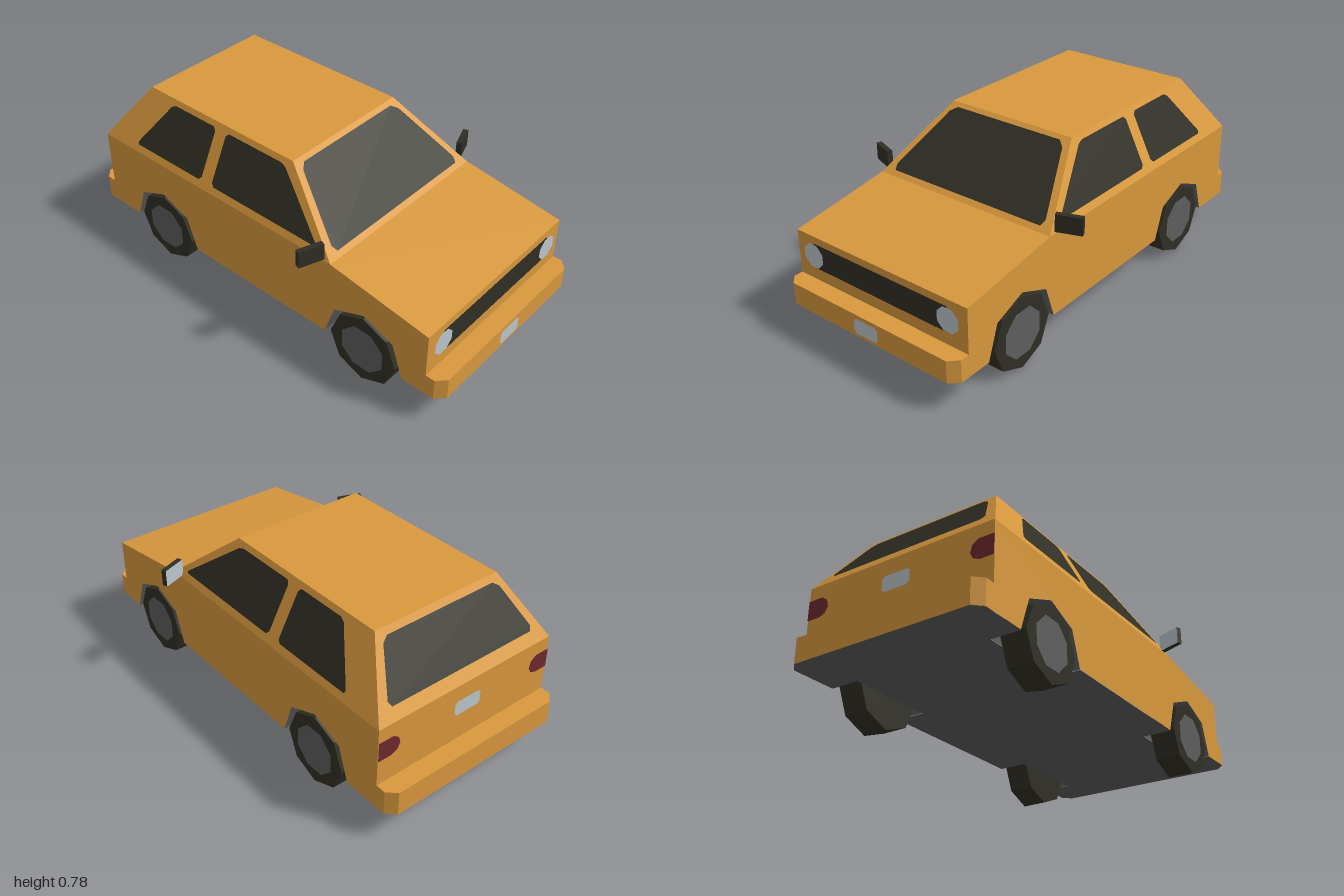
import * as THREE from 'three';

const mat = (name, color) => Object.assign(new THREE.MeshStandardMaterial({ color }), { name });

export function createModel() {
  const car = new THREE.Group();
  car.name = 'hatchback';
  const paint = mat('orange paint', 0xd9993d);
  const black = mat('glass and rubber', 0x302f25);
  const grey = mat('dark grey', 0x5e5e5e);
  const silver = mat('silver', 0xbcc7cb);
  const red = mat('tail light red', 0x6e2a2e);

  // Flat polygon through 3D points, facing the outward direction, lifted by a small offset
  function face(name, points, outward, material, lift = 0) {
    const out = new THREE.Vector3(...outward).normalize();
    const axis = [0, 1, 2].sort((a, b) => Math.abs(outward[b]) - Math.abs(outward[a]))[0];
    const [u, v] = [0, 1, 2].filter((i) => i !== axis);
    const flat = points.map((p) => new THREE.Vector2(p[u], p[v]));
    const vec = points.map((p) => new THREE.Vector3(...p).addScaledVector(out, lift));
    const pos = [];
    for (const [a, b, c] of THREE.ShapeUtils.triangulateShape(flat, [])) {
      const n = vec[b].clone().sub(vec[a]).cross(vec[c].clone().sub(vec[a]));
      const tri = n.dot(out) > 0 ? [a, b, c] : [a, c, b];
      tri.forEach((i) => pos.push(...vec[i].toArray()));
    }
    const geo = new THREE.BufferGeometry();
    geo.setAttribute('position', new THREE.Float32BufferAttribute(pos, 3));
    geo.computeVertexNormals();
    const mesh = new THREE.Mesh(geo, material);
    mesh.name = name;
    car.add(mesh);
  }

  // Clips every corner of a 2D outline
  function clip(pts, r) {
    return pts.flatMap((p, i) => {
      const toward = (q) => {
        const d = Math.hypot(q[0] - p[0], q[1] - p[1]);
        return [p[0] + ((q[0] - p[0]) * r) / d, p[1] + ((q[1] - p[1]) * r) / d];
      };
      return [toward(pts[(i + pts.length - 1) % pts.length]), toward(pts[(i + 1) % pts.length])];
    });
  }
  const trapezoid = (wBottom, wTop, y0, y1) => [[-wBottom, y0], [wBottom, y0], [wTop, y1], [-wTop, y1]];
  const circle = (cx, cy, r, n) => Array.from({ length: n }, (_, i) => {
    const a = ((i + 0.5) / n) * Math.PI * 2;
    return [cx + r * Math.cos(a), cy + r * Math.sin(a)];
  });

  // Main dimensions
  const W = 0.457, R = 0.318, well = 0.325;
  const low = 0.14, belt = 0.515, top = 0.78;
  const nose = 0.92, tail = -0.918, cowl = 0.44, roofF = 0.12, roofB = -0.725;
  const axles = [0.61, -0.553];
  const arch = [[0.2, low], [0.148, 0.29], [0, 0.35], [-0.148, 0.29], [-0.2, low]];

  // Body panels that span the width
  const span = (name, z0, y0, w0, z1, y1, w1, out) =>
    face(name, [[-w0, y0, z0], [w0, y0, z0], [w1, y1, z1], [-w1, y1, z1]], out, paint);
  const screenOut = [0, roofF - cowl, belt - top].map((v) => -v);
  screenOut[1] = cowl - roofF;
  screenOut[2] = top - belt;
  const hatchOut = [0, roofB - tail, belt - top];
  span('nosePanel', nose, low, W, nose, 0.44, W, [0, 0, 1]);
  span('hood', nose, 0.44, W, cowl, belt, W, [0, 0.48, 0.075]);
  span('windshieldFrame', cowl, belt, W, roofF, top, R, screenOut);
  span('roof', roofF, top, R, roofB, top, R, [0, 1, 0]);
  span('hatchFrame', tail, belt, W, roofB, top, R, hatchOut);
  span('tailPanel', tail, low, W, tail, belt, W, [0, 0, -1]);

  // Windshield and rear window
  const t = (y) => (y - belt) / (top - belt);
  face('windshield', clip(trapezoid(0.413, 0.295, 0.532, 0.764), 0.02)
    .map(([x, y]) => [x, y, cowl + (roofF - cowl) * t(y)]), screenOut, black, 0.003);
  face('rearWindow', clip(trapezoid(0.388, 0.296, 0.56, 0.755), 0.02)
    .map(([x, y]) => [x, y, tail + (roofB - tail) * t(y)]), hatchOut, black, 0.003);

  // Front and rear details
  const onFront = (name, pts, z, m, lift) => face(name, pts.map(([x, y]) => [x, y, z]), [0, 0, 1], m, lift);
  const onTail = (name, pts, m) => face(name, pts.map(([x, y]) => [x, y, tail]), [0, 0, -1], m, 0.003);
  onFront('grille', trapezoid(0.36, 0.36, 0.296, 0.41), nose, black, 0.003);
  onFront('frontPlate', clip(trapezoid(0.064, 0.064, 0.155, 0.223), 0.012), 1, silver, 0.002);
  onTail('rearPlate', clip(trapezoid(0.068, 0.068, 0.375, 0.443), 0.012), silver);

  // Bumpers with clipped outer corners
  for (const s of [1, -1]) {
    const h = s > 0 ? 0.1 : 0.11;
    const plan = new THREE.Shape([[-W, 0.915], [W, 0.915], [W, 0.962], [0.418, 1], [-0.418, 1], [-W, 0.962]]
      .map(([x, z]) => new THREE.Vector2(x, -s * z)));
    const geo = new THREE.ExtrudeGeometry(plan, { depth: h, bevelEnabled: false });
    geo.rotateX(-Math.PI / 2).translate(0, low, 0);
    const bumper = new THREE.Mesh(geo, paint);
    bumper.name = s > 0 ? 'frontBumper' : 'rearBumper';
    car.add(bumper);
  }

  // Underside, notched around the wheel wells
  const edge = [[W, 0.962]];
  for (const z of axles) edge.push([W, z + 0.2], [well, z + 0.2], [well, z - 0.2], [W, z - 0.2]);
  edge.push([W, -0.962], [0.418, -1]);
  const floor = [[0.418, 1], ...edge];
  const floorLoop = [...floor, ...floor.map(([x, z]) => [-x, z]).reverse()];
  face('underside', floorLoop.map(([x, z]) => [x, low, z]), [0, -1, 0], grey, 0.002);

  for (const s of [1, -1]) {
    const side = s > 0 ? 'left' : 'right';

    // Lower side panel with wheel arch cut-outs
    const outline = [[tail, low], [tail, belt], [cowl, belt], [nose, 0.44], [nose, low]];
    for (const z of axles) outline.push(...arch.map(([dz, y]) => [z + dz, y]));
    face(side + 'SidePanel', outline.map(([z, y]) => [s * W, y, z]), [s, 0, 0], paint);

    // Cabin side and its windows
    const sideOut = [s * (top - belt), W - R, 0];
    const onCabin = ([z, y]) => [s * (W + (R - W) * t(y)), y, z];
    face(side + 'CabinSide', [[cowl, belt], [roofF, top], [roofB, top], [tail, belt]].map(onCabin), sideOut, paint);
    face(side + 'FrontWindow', clip([[0.36, 0.545], [0.085, 0.757], [-0.243, 0.757], [-0.24, 0.545]], 0.014)
      .map(onCabin), sideOut, black, 0.003);
    face(side + 'RearWindow', clip([[-0.303, 0.545], [-0.305, 0.757], [-0.57, 0.757], [-0.72, 0.545]], 0.014)
      .map(onCabin), sideOut, black, 0.003);

    // Headlight and tail light
    onFront(side + 'Headlight', circle(s * 0.363, 0.353, 0.057, 8), nose, silver, 0.006);
    onTail(side + 'TailLight', [[W, 0.455], [0.385, 0.455], [0.358, 0.435], [0.35, 0.405], [0.365, 0.378],
      [0.395, 0.367], [W, 0.367]].map(([x, y]) => [s * x, y]), red);

    for (const z of axles) {
      const where = side + (z > 0 ? 'Front' : 'Rear');
      // Wheel well lining
      face(where + 'WellWall', arch.map(([dz, y]) => [s * well, y, z + dz]), [s, 0, 0], grey);
      for (let i = 0; i < arch.length - 1; i++) {
        const [[a, ya], [b, yb]] = [arch[i], arch[i + 1]];
        face(where + 'WellLining', [[s * W, ya, z + a], [s * W, yb, z + b], [s * well, yb, z + b], [s * well, ya, z + a]],
          [0, -Math.abs(a - b), a + b > 0 ? -Math.abs(ya - yb) : Math.abs(ya - yb)], grey);
      }
      // Eight-sided tyre with a flat hub
      const tyreGeo = new THREE.CylinderGeometry(0.166, 0.166, 0.116, 8).toNonIndexed();
      tyreGeo.rotateZ(Math.PI / 2).computeVertexNormals();
      const tyre = new THREE.Mesh(tyreGeo, black);
      tyre.name = where + 'Tyre';
      tyre.position.set(s * 0.399, 0.166, z);
      car.add(tyre);
      face(where + 'Hub', circle(z, 0.166, 0.112, 8).map(([hz, y]) => [s * 0.457, y, hz]), [s, 0, 0], grey, 0.003);
    }

    // Door mirror, with silver glass facing back
    const mirror = new THREE.Mesh(new THREE.BoxGeometry(0.113, 0.077, 0.024),
      [black, black, black, black, black, silver]);
    mirror.name = side + 'Mirror';
    mirror.position.set(s * 0.502, 0.559, 0.376);
    mirror.rotation.y = s * 0.35;
    car.add(mirror);
  }
  return car;
}
